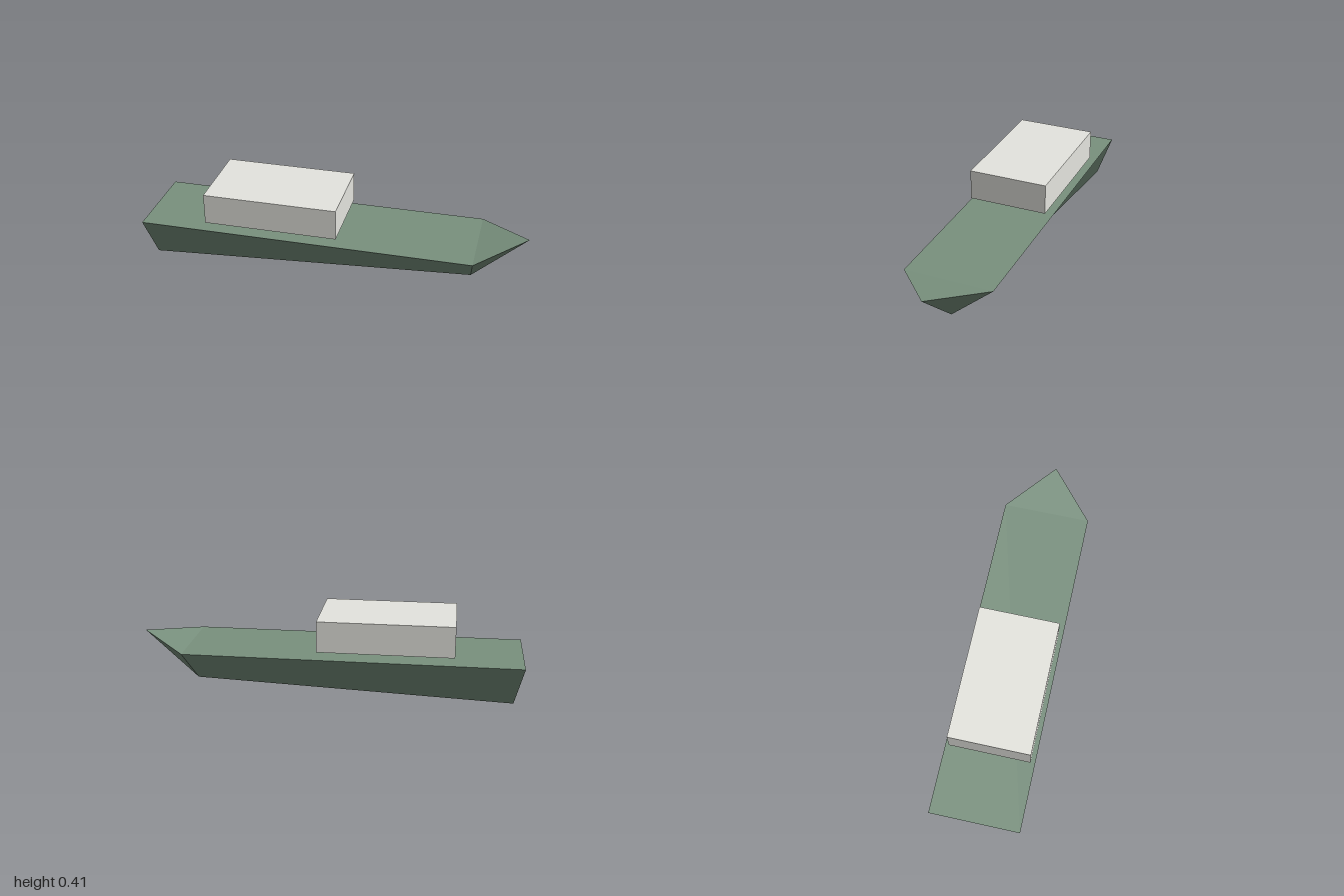
import * as THREE from 'three';

// Flat face from 3 or 4 corners (counter-clockwise from outside), one normal per face;
// a four-cornered face folds along the line from its first corner to its third
function addFace(pos, nor, c) {
  const n = new THREE.Vector3().crossVectors(
    c[2].clone().sub(c[0]), (c[3] ?? c[0]).clone().sub(c[1])).normalize();
  for (let i = 1; i < c.length - 1; i++) {
    for (const p of [c[0], c[i], c[i + 1]]) {
      pos.push(p.x, p.y, p.z);
      nor.push(n.x, n.y, n.z);
    }
  }
}

function hullGeometry() {
  const v = (x, y, z) => new THREE.Vector3(x, y, z);
  const tip = v(1, 0.256, 0), keel = v(0.72, 0, 0);
  const side = (s) => ({
    sternTop: v(-1, 0.21, 0.232 * s),
    sternLow: v(-0.955, 0, 0.163 * s),
    bowTop: v(0.743, 0.21, 0.232 * s),
  });
  const l = side(1), r = side(-1);
  const faces = [
    [l.sternTop, l.bowTop, r.bowTop, r.sternTop],   // deck
    [l.bowTop, tip, r.bowTop],                      // raised foredeck
    [l.sternTop, l.sternLow, keel, l.bowTop],       // front side
    [r.sternTop, r.bowTop, keel, r.sternLow],       // back side
    [keel, tip, l.bowTop],                          // bow, front half
    [r.bowTop, tip, keel],                          // bow, back half
    [r.sternLow, l.sternLow, l.sternTop, r.sternTop], // transom
    [r.sternLow, keel, l.sternLow],                 // bottom
  ];
  const pos = [], nor = [];
  faces.forEach((f) => addFace(pos, nor, f));
  const g = new THREE.BufferGeometry();
  g.setAttribute('position', new THREE.Float32BufferAttribute(pos, 3));
  g.setAttribute('normal', new THREE.Float32BufferAttribute(nor, 3));
  return g;
}

export function createModel() {
  const green = new THREE.MeshStandardMaterial({ color: 0x79917e });
  green.name = 'hull green';
  const grey = new THREE.MeshStandardMaterial({ color: 0xe5e5df });
  grey.name = 'cabin grey';

  const boat = new THREE.Group();
  boat.name = 'boat';

  const hull = new THREE.Mesh(hullGeometry(), green);
  hull.name = 'hull';

  // Cabin block hovering just above the deck
  const cabin = new THREE.Mesh(new THREE.BoxGeometry(0.698, 0.162, 0.419), grey);
  cabin.name = 'cabin';
  cabin.position.set(-0.304, 0.326, 0);

  boat.add(hull, cabin);
  return boat;
}
